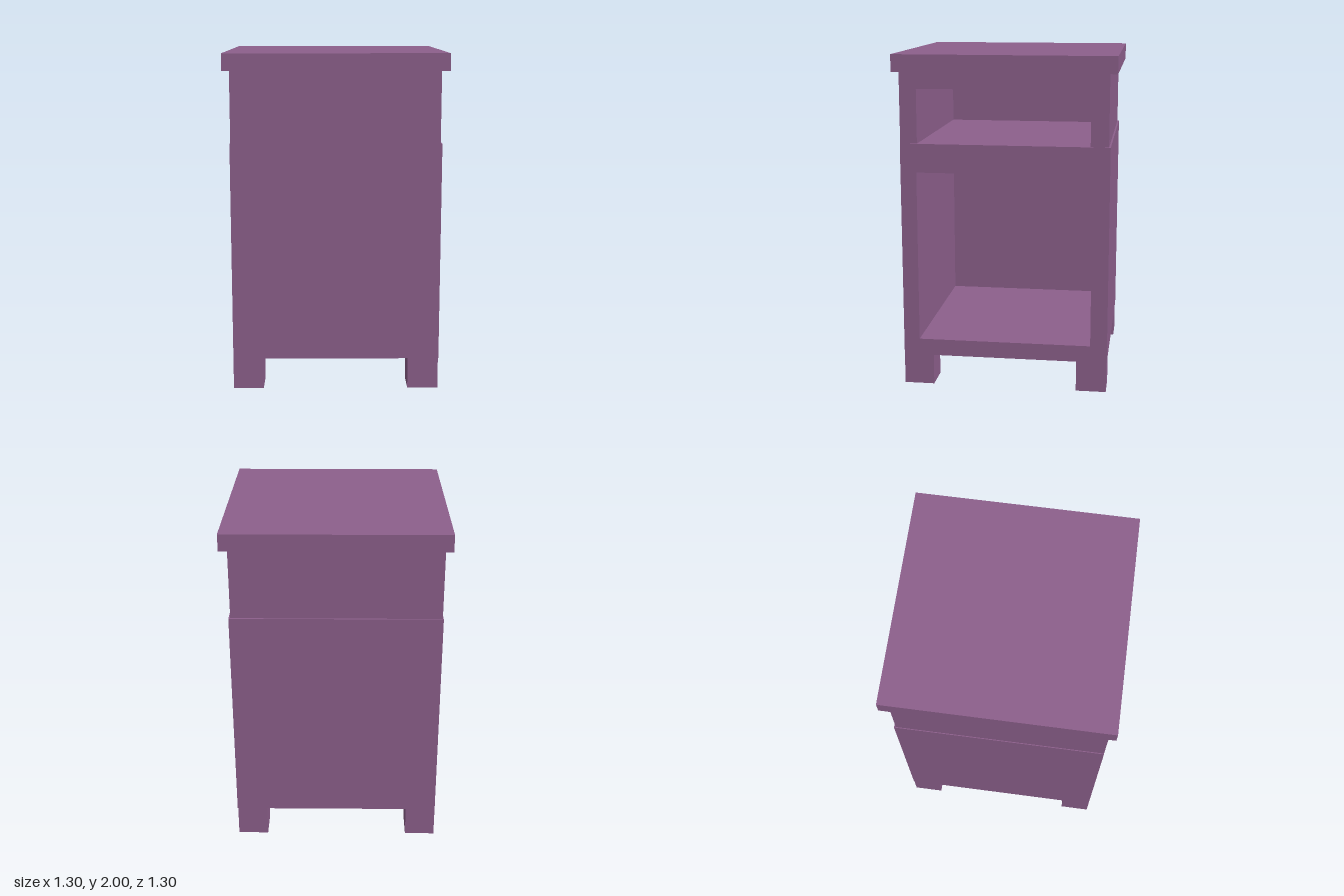
import * as THREE from 'three';

export function createModel() {
  const group = new THREE.Group();
  group.name = 'nightstand';
  const purple = new THREE.MeshStandardMaterial({ color: 0x8d608c });
  purple.name = 'purple paint';

  const add = (name, geometry) => {
    const mesh = new THREE.Mesh(geometry, purple);
    mesh.name = name;
    group.add(mesh);
  };

  // Box given by its limits on each axis
  const box = (name, [x0, x1], [y0, y1], [z0, z1]) => {
    const g = new THREE.BoxGeometry(x1 - x0, y1 - y0, z1 - z0);
    g.translate((x0 + x1) / 2, (y0 + y1) / 2, (z0 + z1) / 2);
    add(name, g);
  };

  // Outline drawn in (-z, y) and extruded along x
  const toShape = pts => new THREE.Shape(pts.map(([z, y]) => new THREE.Vector2(-z, y)));
  const alongX = (name, shape, x0, x1) => {
    const g = new THREE.ExtrudeGeometry(shape, { depth: x1 - x0, bevelEnabled: false });
    g.rotateY(Math.PI / 2);
    g.translate(x0, 0, 0);
    add(name, g);
  };

  // Lower cabinet with a deep open compartment on the +x side
  const lower = toShape([[0.615, 0.185], [-0.615, 0.185], [-0.615, 1.48], [0.615, 1.48]]);
  lower.holes.push(toShape([[0.52, 0.285], [0.52, 1.31], [-0.515, 1.31], [-0.515, 0.285]]));
  alongX('lowerCabinet', lower, -0.515, 0.615);
  box('lowerBackPanel', [-0.615, -0.515], [0.185, 1.48], [-0.615, 0.615]);

  // Upper section, slightly narrower, its open drawer bay resting on the cabinet
  alongX('drawerBay', toShape([
    [0.615, 1.48], [0.515, 1.48], [0.515, 1.8], [-0.5, 1.8],
    [-0.5, 1.48], [-0.605, 1.48], [-0.605, 1.9], [0.615, 1.9],
  ]), -0.5, 0.605);
  box('drawerBackPanel', [-0.61, -0.5], [1.48, 1.9], [-0.605, 0.615]);

  // Overhanging top
  box('tabletop', [-0.65, 0.65], [1.9, 2], [-0.65, 0.65]);

  // Four square legs
  for (const x of [[-0.615, -0.435], [0.43, 0.612]])
    for (const z of [[-0.612, -0.432], [0.435, 0.615]])
      box('leg', x, [0, 0.185], z);

  return group;
}
